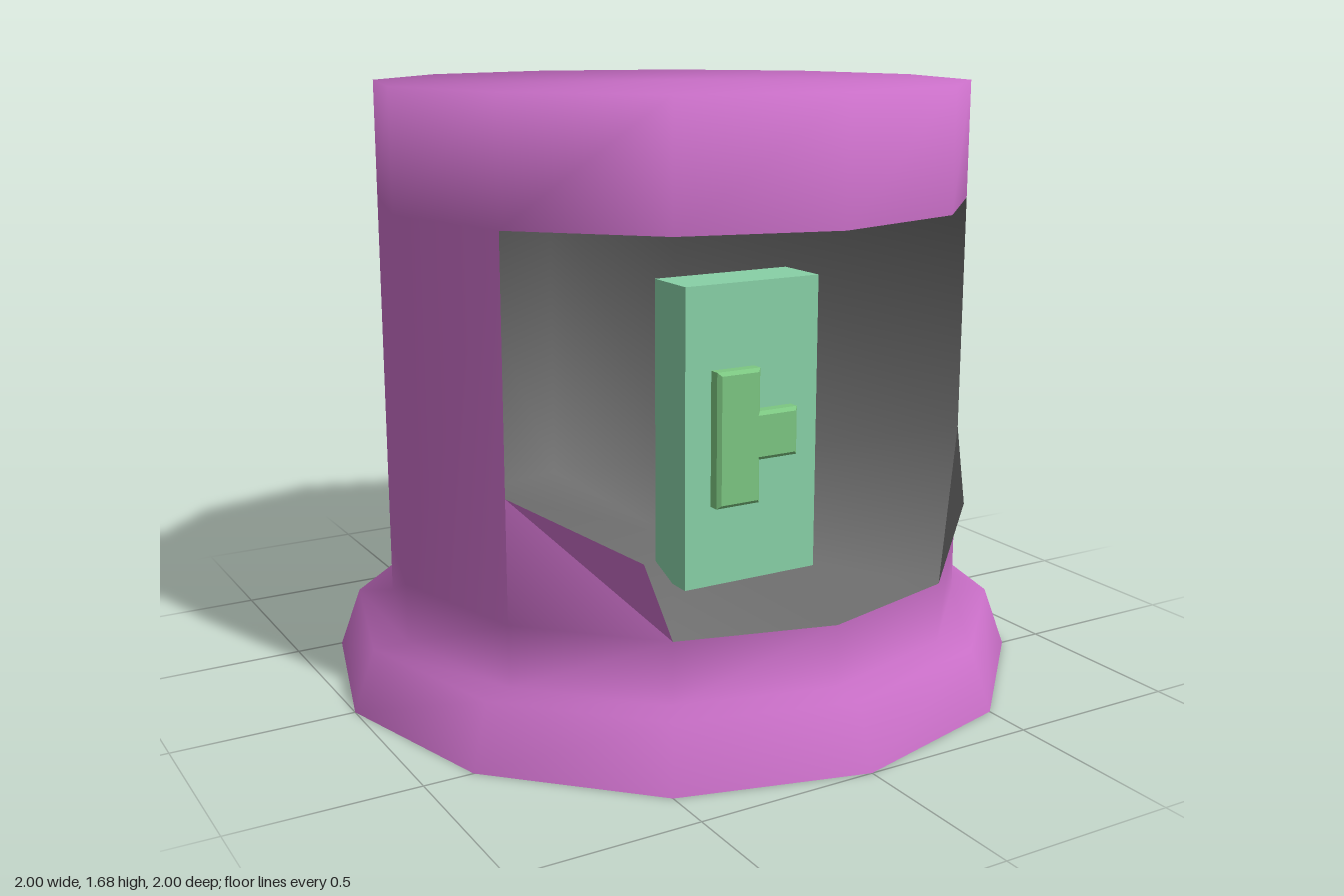
import * as THREE from 'three';

const SIDES = 12;
const SILL = 0.34, LINTEL = 1.35, TOP = 1.68, R = 0.84;
const purple = 0xc86ec6, dark = 0x707070, mint = 0x88d0a6, leaf = 0x7cc681;

function material(color, side = THREE.FrontSide) {
  return new THREE.MeshStandardMaterial({ color, side });
}

// Smooth-shaded mesh from shared points and triangle corners
function surface(name, points, index, mat) {
  const g = new THREE.BufferGeometry();
  g.setAttribute('position', new THREE.Float32BufferAttribute(points.flat(), 3));
  g.setIndex(index);
  g.computeVertexNormals();
  const m = new THREE.Mesh(g, mat);
  m.name = name;
  return m;
}

function ringPoint(i, r, y) {
  const a = (i / SIDES) * Math.PI * 2;
  return [r * Math.sin(a), y, r * Math.cos(a)];
}

// Twelve-sided body with flared skirt, flat top and a front opening
function makeShell() {
  const rings = [[1, 0], [0.94, 0.17], [R, 0.17], [R, SILL], [R, LINTEL], [R, TOP]];
  const points = [], index = [];
  for (const [r, y] of rings) {
    for (let i = 0; i < SIDES; i++) points.push(ringPoint(i, r, y));
  }
  const at = (ring, i) => ring * SIDES + ((i + SIDES) % SIDES);
  for (let k = 0; k < rings.length - 1; k++) {
    for (let i = 0; i < SIDES; i++) {
      if (k === 3 && (i < 2 || i > 9)) continue; // opening
      const a = at(k, i), b = at(k, i + 1), c = at(k + 1, i + 1), d = at(k + 1, i);
      index.push(a, b, c, a, c, d);
    }
  }
  // Roof
  const centre = points.push([0, TOP, 0]) - 1;
  for (let i = 0; i < SIDES; i++) index.push(at(5, i), at(5, i + 1), centre);
  // Sloping lower corners of the opening
  const left = points.push(ringPoint(2, R, 0.675)) - 1;
  const right = points.push(ringPoint(-2, R, 0.675)) - 1;
  index.push(at(3, 1), at(3, 2), left, at(3, -2), at(3, -1), right);
  return surface('shell', points, index, material(purple, THREE.DoubleSide));
}

// Grey hollow: floor rising at the sides, walls and ceiling
function makeInterior() {
  const half = [
    ringPoint(1, R, SILL), ringPoint(2, R, 0.675), [0.42, SILL, -0.7],
  ];
  const mirrored = half.map(([x, y, z]) => [-x, y, z]).reverse();
  const floor = [[0, SILL, R], ...half, [0, SILL, -0.8], ...mirrored];
  const n = floor.length;
  const ceiling = floor.map(([x, , z]) => [x, LINTEL, z]);
  const points = [...floor, ...ceiling, [0, SILL, 0], [0, LINTEL, 0]];
  const index = [];
  for (let i = 0; i < n; i++) {
    const j = (i + 1) % n;
    index.push(2 * n, i, j, 2 * n + 1, n + j, n + i);
    if (i >= 2 && i <= n - 3) index.push(i, n + i, n + j, i, n + j, j);
  }
  return surface('interior', points, index, material(dark, THREE.DoubleSide));
}

// Small lip at each lower corner, purple outside and grey inside
function makeLip(side) {
  const g = new THREE.Group();
  g.name = side > 0 ? 'leftLip' : 'rightLip';
  const points = [ringPoint(1, R, SILL), ringPoint(2, R, 0.675), [0.5, 0.555, 0.725]]
    .map(([x, y, z]) => [side * x, y, z]);
  const out = side > 0 ? [0, 1, 2] : [0, 2, 1];
  g.add(surface('lipOutside', points, out, material(purple)));
  g.add(surface('lipInside', points, [...out].reverse(), material(dark)));
  return g;
}

// Upright panel with a raised sideways tee
function makePanel() {
  const g = new THREE.Group();
  g.name = 'panel';
  const slab = new THREE.Mesh(new THREE.BoxGeometry(0.42, 0.83, 0.16), material(mint));
  slab.name = 'panelSlab';
  slab.position.set(0, 0.755, 0.35);
  const outline = [
    [-0.12, 0.575], [-0.005, 0.575], [-0.005, 0.695], [0.115, 0.695],
    [0.115, 0.81], [-0.005, 0.81], [-0.005, 0.93], [-0.12, 0.93],
  ].map(([x, y]) => new THREE.Vector2(x, y));
  const tee = new THREE.Mesh(
    new THREE.ExtrudeGeometry(new THREE.Shape(outline), {
      depth: 0.03, bevelThickness: 0.01, bevelSize: 0.01, bevelSegments: 1,
    }),
    material(leaf),
  );
  tee.name = 'raisedTee';
  tee.position.z = 0.43;
  g.add(slab, tee);
  return g;
}

export function createModel() {
  const model = new THREE.Group();
  model.name = 'booth';
  model.add(makeShell(), makeInterior(), makeLip(1), makeLip(-1), makePanel());
  return model;
}
